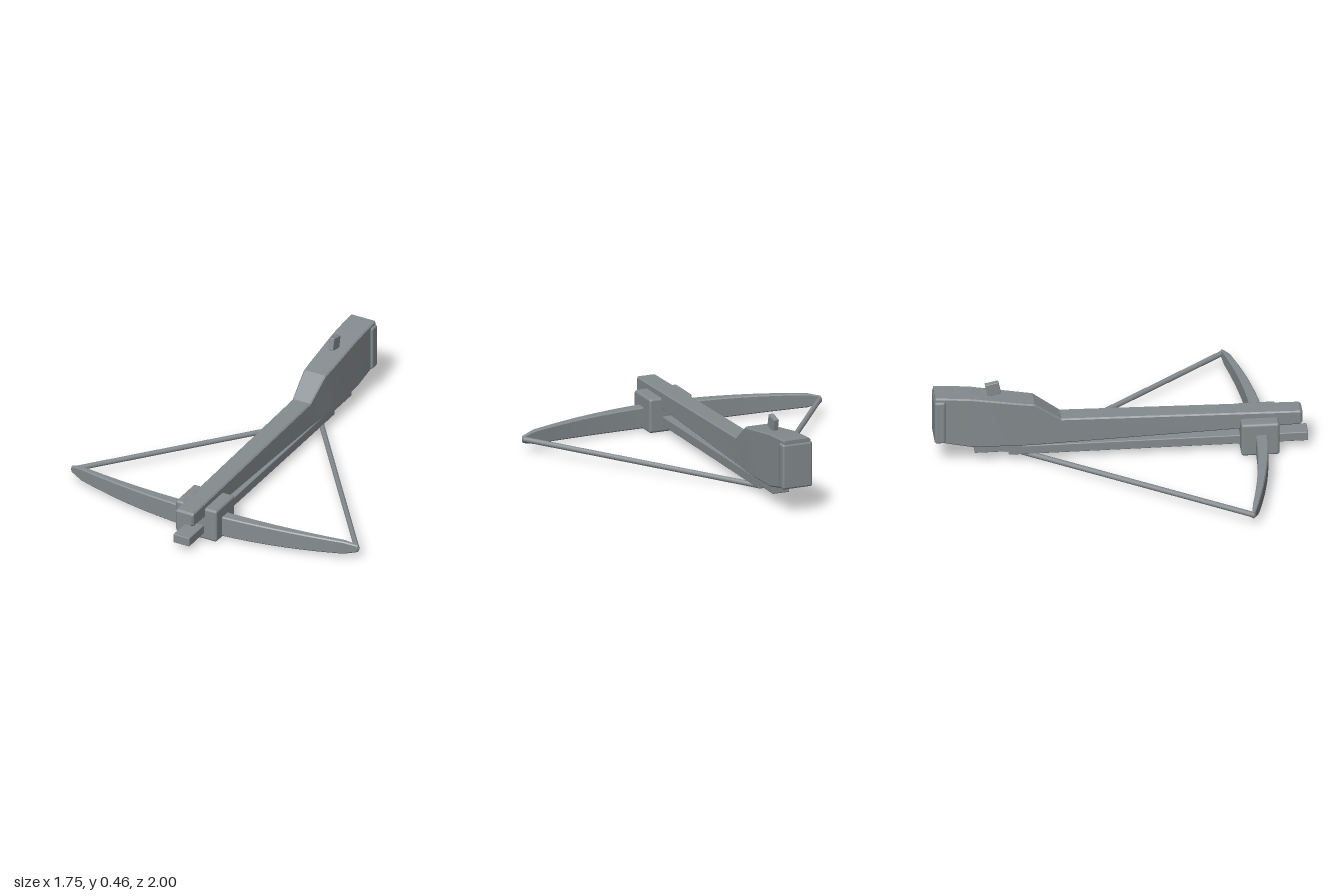
import * as THREE from 'three';
import { RoundedBoxGeometry } from 'three/addons/geometries/RoundedBoxGeometry.js';
import { toCreasedNormals } from 'three/addons/utils/BufferGeometryUtils.js';

const material = new THREE.MeshStandardMaterial({ color: 0x858c8f });

// Chamfered rectangular section at z, counter-clockwise seen from +z
function section(z, cx, hw, yb, yt, b) {
  const l = cx - hw, r = cx + hw;
  return [
    [l + b, yb, z], [r - b, yb, z], [r, yb + b, z], [r, yt - b, z],
    [r - b, yt, z], [l + b, yt, z], [l, yt - b, z], [l, yb + b, z],
  ];
}

// Skin a list of sections ordered from high z to low z and cap both ends
function loft(rings) {
  const n = rings[0].length, index = [], last = (rings.length - 1) * n;
  for (let i = 0; i < rings.length - 1; i++) {
    for (let j = 0; j < n; j++) {
      const a = i * n + j, b = i * n + (j + 1) % n;
      index.push(a, a + n, b, b, a + n, b + n);
    }
  }
  for (let j = 1; j < n - 1; j++) {
    index.push(0, j, j + 1, last, last + j + 1, last + j);
  }
  const g = new THREE.BufferGeometry();
  g.setAttribute('position', new THREE.Float32BufferAttribute(rings.flat(2), 3));
  g.setIndex(index);
  return toCreasedNormals(g, 0.35);
}

export function createModel() {
  const model = new THREE.Group();
  const add = (name, geometry, x = 0, y = 0, z = 0) => {
    const mesh = new THREE.Mesh(geometry, material);
    mesh.name = name;
    mesh.position.set(x, y, z);
    model.add(mesh);
    return mesh;
  };
  const box = (w, h, d, r) => new RoundedBoxGeometry(w, h, d, 2, r);

  // Stock: z, half width, bottom, top
  const stock = [
    [0.97, 0.047, 0.148, 0.212],
    [0.957, 0.055, 0.14, 0.22],
    [-0.32, 0.055, 0.095, 0.243],
    [-0.465, 0.067, 0.097, 0.345],
    [-0.55, 0.071, 0.098, 0.358],
    [-0.8, 0.075, 0.107, 0.4],
    [-0.94, 0.076, 0.138, 0.412],
    [-0.995, 0.076, 0.15, 0.415],
  ];
  add('stock', loft(stock.map(([z, hw, yb, yt]) => section(z, 0, hw, yb, yt, 0.007))));
  add('buttPlate', box(0.174, 0.25, 0.058, 0.012), 0, 0.27, -0.971);

  // Slide rail under the stock, trigger block and sight
  add('rail', box(0.098, 0.052, 1.6, 0.005), 0, 0.061, 0.2);
  add('triggerBlock', box(0.098, 0.055, 0.255, 0.005), 0, 0.084, -0.656);
  add('sight', box(0.03, 0.07, 0.074, 0.004), 0, 0.421, -0.681).rotation.x = -0.22;

  // Block that holds the bow
  add('bowMount', box(0.25, 0.19, 0.205, 0.014), 0, 0.095, 0.738);

  // Bow: lofted along its length with tapered ends, then turned to lie across x
  const half = 0.87, steps = 24, rings = [];
  for (let i = 0; i <= steps; i++) {
    const x = half * (1 - 2 * i / steps), t = Math.abs(x / half);
    const end = t === 1 ? 0.6 : 1;
    const hh = (0.059 - 0.026 * t * t) * end, depth = (0.036 - 0.022 * t) * end;
    rings.push(section(x, -(0.748 - 0.158 * x * x), depth, 0.067 - hh, 0.067 + hh, 0.006));
  }
  add('bow', loft(rings).rotateY(Math.PI / 2));

  // Knobs and the drawn string, mirrored
  const up = new THREE.Vector3(0, 1, 0);
  for (const s of [1, -1]) {
    const side = s > 0 ? 'left' : 'right';
    const tip = new THREE.Vector3(s * 0.86, 0.067, 0.625);
    const nock = new THREE.Vector3(0, 0.023, -0.525);
    const dir = nock.clone().sub(tip);
    const string = add(side + 'String', new THREE.CylinderGeometry(0.015, 0.015, dir.length(), 8));
    string.position.copy(tip).add(nock).multiplyScalar(0.5);
    string.quaternion.setFromUnitVectors(up, dir.normalize());
    add(side + 'Knob', new THREE.SphereGeometry(0.016, 10, 8), s * 0.86, 0.067, 0.625);
  }
  return model;
}
